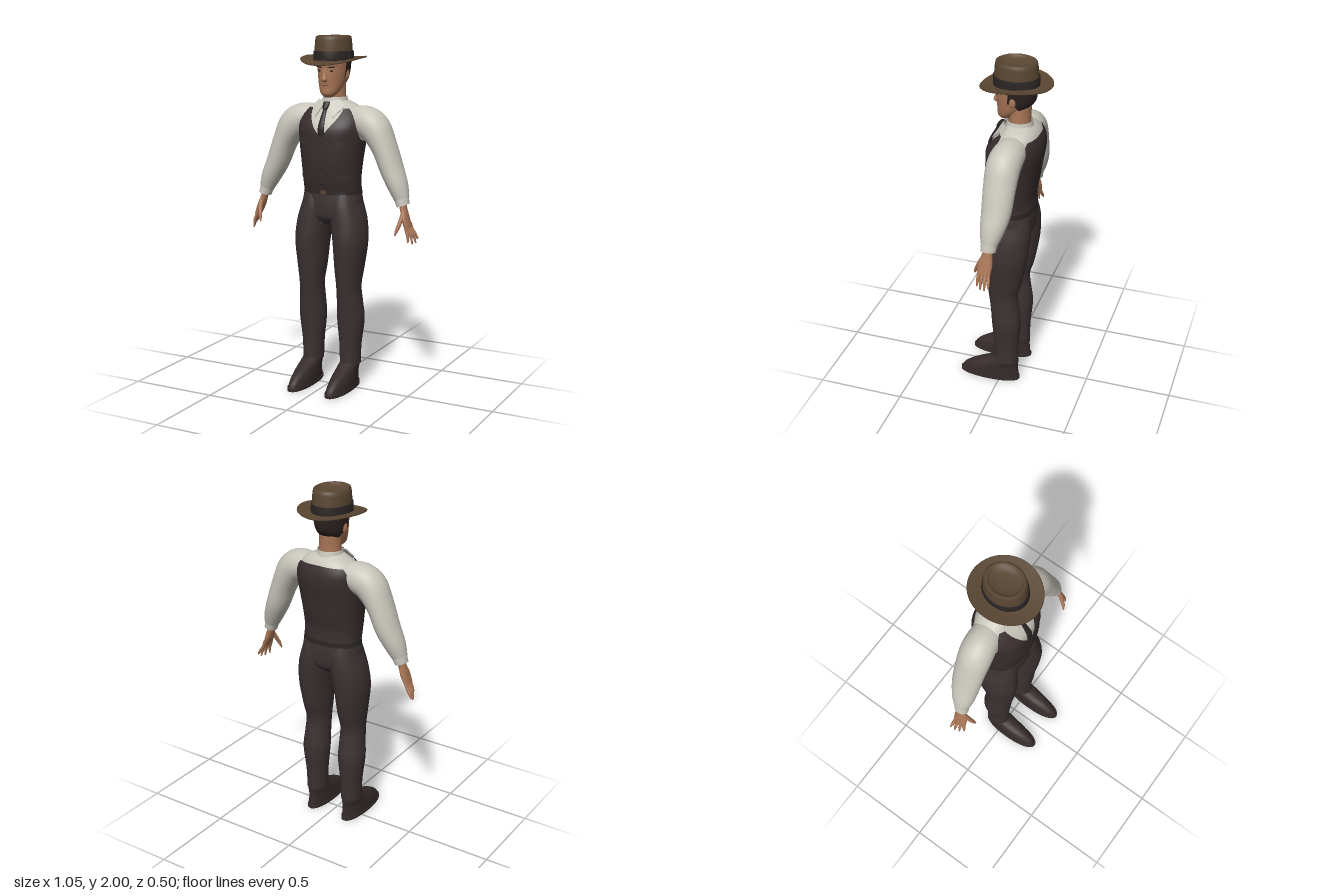
import * as THREE from 'three';

const mat = (name, color, side = THREE.FrontSide) => {
  const m = new THREE.MeshStandardMaterial({ color, side });
  m.name = name;
  return m;
};

// Catmull-Rom blend of the section rows at segment i, fraction f
function sample(rows, i, f) {
  const at = k => rows[Math.min(Math.max(k, 0), rows.length - 1)];
  const [p, a, b, q] = [at(i - 1), at(i), at(i + 1), at(i + 2)];
  return a.map((v, k) => v + 0.5 * f * (b[k] - p[k] + f * (2 * p[k] - 5 * v + 4 * b[k] - q[k] + f * (3 * (v - b[k]) + q[k] - p[k]))));
}

const pow = (v, p) => Math.sign(v) * Math.abs(v) ** (2 / p);

function build(pos, idx) {
  const g = new THREE.BufferGeometry();
  g.setAttribute('position', new THREE.Float32BufferAttribute(pos, 3));
  g.setIndex(idx);
  g.computeVertexNormals();
  return g;
}

// Closed skin through sections [x, y, z, halfWidth, halfDepth]; follow turns the rings along the path
function loft(rows, { follow = false, n = 28, steps = 5, p = 2 } = {}) {
  const rings = [];
  for (let i = 0; i < rows.length - 1; i++)
    for (let k = 0; k < steps; k++) rings.push(sample(rows, i, k / steps));
  rings.push(rows[rows.length - 1]);
  const pos = [], idx = [], last = rings.length - 1;
  const ring = i => {
    const [x, y, z, a, b] = rings[i];
    const r0 = rings[Math.max(i - 1, 0)], r1 = rings[Math.min(i + 1, last)];
    const t = follow ? new THREE.Vector2(r1[0] - r0[0], r1[1] - r0[1]).normalize() : new THREE.Vector2(0, 1);
    for (let j = 0; j < n; j++) {
      const w = j / n * Math.PI * 2, c = pow(Math.cos(w), p) * a;
      pos.push(x + t.y * c, y - t.x * c, z + pow(Math.sin(w), p) * b);
    }
  };
  for (let i = 0; i <= last; i++) ring(i);
  for (let i = 0; i < last; i++) for (let j = 0; j < n; j++) {
    const a = i * n + j, b = i * n + (j + 1) % n;
    idx.push(a, a + n, b, b, a + n, b + n);
  }
  for (const e of [0, last]) {
    const s = pos.length / 3;
    ring(e);
    pos.push(...rings[e].slice(0, 3));
    for (let j = 0; j < n; j++) {
      const a = s + j, b = s + (j + 1) % n;
      idx.push(...(e ? [a, s + n, b] : [a, b, s + n]));
    }
  }
  return build(pos, idx);
}

// Open sheet wrapped round upright sections, between bottom(angle) and top(angle)
function wrap(rows, bottom, top, a0, a1, offset, { n = 72, m = 24, p = 2 } = {}) {
  const pos = [], idx = [];
  for (let i = 0; i <= m; i++) for (let j = 0; j <= n; j++) {
    const w = a0 + (a1 - a0) * j / n, y = bottom(w) + (top(w) - bottom(w)) * i / m;
    let k = 0;
    while (k < rows.length - 2 && y > rows[k + 1][1]) k++;
    const r = sample(rows, k, (y - rows[k][1]) / (rows[k + 1][1] - rows[k][1]));
    pos.push(r[0] + pow(Math.cos(w), p) * (r[3] + offset), y, r[2] + pow(Math.sin(w), p) * (r[4] + offset));
  }
  for (let i = 0; i < m; i++) for (let j = 0; j < n; j++) {
    const a = i * (n + 1) + j, c = a + n + 1;
    idx.push(a, c, a + 1, a + 1, c, c + 1);
  }
  return build(pos, idx);
}

export function createModel() {
  const D = THREE.DoubleSide, PI = Math.PI;
  const skin = mat('skin', 0xa97656), lipTone = mat('lips', 0x8c5a48), hair = mat('hair', 0x2b221f, D);
  const felt = mat('hat felt', 0x5a4632), ribbon = mat('dark ribbon', 0x2c2625);
  const cotton = mat('shirt cotton', 0xc8c5bb, D), vestCloth = mat('vest cloth', 0x382d2e, D);
  const wool = mat('trouser wool', 0x3b3132, D), leather = mat('shoe leather', 0x352b2a), wear = mat('sole wear', 0x8a6a4c);

  const model = new THREE.Group();
  const add = (name, geo, material, x = 0, y = 0, z = 0) => {
    const m = new THREE.Mesh(geo, material);
    m.name = name;
    m.position.set(x, y, z);
    model.add(m);
    return m;
  };
  const flip = (rows, s) => rows.map(([x, ...r]) => [x * s, ...r]);

  // Shirt body and vest share these sections
  const torso = [
    [0, 1.12, -.05, .165, .115], [0, 1.2, -.037, .165, .122], [0, 1.3, -.037, .172, .138],
    [0, 1.4, -.043, .185, .147], [0, 1.5, -.053, .194, .153], [0, 1.56, -.07, .185, .132],
    [0, 1.61, -.08, .15, .1], [0, 1.645, -.075, .085, .068]];
  const P = { p: 2.3 };
  add('shirtBody', loft(torso.map(([x, y, z, a, b]) => [x, y, z, a - .008, b - .008]), P), cotton);
  const mix = (stops, c) => {
    const k = Math.max(1, stops.findIndex(s => s[0] >= c)), [c0, y0] = stops[k - 1], [c1, y1] = stops[k];
    return y0 + (y1 - y0) * (c - c0) / (c1 - c0);
  };
  const frontEdge = [[0, 1.45], [.55, 1.605], [.76, 1.605], [.9, 1.5], [1.01, 1.42]];
  const backEdge = [[0, 1.6], [.8, 1.595], [.92, 1.5], [1.01, 1.42]];
  const neckline = w => mix(Math.sin(w) > 0 ? frontEdge : backEdge, Math.abs(Math.cos(w)));
  const hem = w => 1.15 - (Math.sin(w) > 0 ? .015 * Math.sin(Math.min(1, Math.abs(Math.cos(w)) * 2.5) * PI) : 0);
  add('vest', wrap(torso, hem, neckline, 0, PI * 2, .003, { n: 120, p: 2.3 }), vestCloth);

  // Welt pockets, back cinch strap and front buttons
  const strip = (name, y, h, a, w) => add(name, wrap(torso, () => y, () => y + h, a - w, a + w, .007, { n: 12, m: 2, p: 2.3 }), wool);
  for (const s of [-1, 1]) {
    strip('chestPocket', 1.41, .018, PI / 2 + s * .62, .2);
    strip('waistPocket', 1.22, .018, PI / 2 + s * .72, .24);
  }
  strip('backStrap', 1.2, .025, -PI / 2, .8);
  for (let i = 0; i < 6; i++) {
    const y = 1.19 + i * .046;
    add('vestButton', new THREE.SphereGeometry(.006, 10, 8), ribbon, 0, y, .088 + .018 * Math.sin(Math.min(1, i / 3) * PI / 2)).scale.z = .6;
  }

  // Trousers and belt
  add('trouserSeat', loft([[0, .945, -.045, .05, .06], [0, .99, -.045, .14, .112], [0, 1.07, -.047, .176, .12], [0, 1.15, -.048, .163, .112]], P), wool);
  add('belt', loft([[0, 1.125, -.048, .171, .118], [0, 1.155, -.048, .168, .117]], { p: 2.3, steps: 1, n: 48 }), ribbon);
  add('beltBuckle', new THREE.BoxGeometry(.036, .024, .008), felt, 0, 1.14, .07);

  for (const s of [-1, 1]) {
    add('trouserLeg', loft(flip([
      [.12, .135, -.033, .058, .072], [.12, .25, -.035, .062, .073], [.122, .4, -.035, .078, .085],
      [.12, .5, -.026, .073, .084], [.118, .6, -.015, .069, .086], [.118, .7, -.022, .08, .106],
      [.12, .85, -.03, .095, .125], [.106, .97, -.04, .1, .126], [.09, 1.06, -.045, .09, .12],
      [.083, 1.14, -.048, .076, .1]], s)), wool);
    add('shoe', loft(flip([
      [.12, .018, .067, .056, .178], [.12, .05, .059, .056, .168], [.12, .09, .033, .054, .138],
      [.12, .125, -.008, .054, .1], [.12, .15, -.033, .052, .072]], s)), leather);
    add('sole', loft(flip([[.12, .003, .067, .059, .183], [.12, .02, .067, .059, .183]], s), { steps: 1, n: 40, p: 2.2 }), leather);
    const patch = add('soleWear', new THREE.CircleGeometry(.03, 20), wear, s * .12, .001, .1);
    patch.rotation.x = PI / 2;
    patch.scale.y = 1.8;

    // Sleeve and cuff
    add('sleeve', loft(flip([
      [.1, 1.545, -.075, .068, .078], [.19, 1.533, -.066, .088, .09], [.255, 1.495, -.06, .088, .093],
      [.312, 1.4, -.058, .07, .088], [.36, 1.28, -.056, .064, .081], [.402, 1.19, -.047, .056, .066],
      [.43, 1.12, -.04, .042, .045]], s), { follow: true }), cotton);
    add('cuff', loft(flip([[.423, 1.138, -.041, .041, .046], [.44, 1.085, -.036, .036, .042]], s), { follow: true, steps: 2 }), cotton);

    // Hand with four fingers and a thumb
    const limb = (name, rows) => add(name, loft(flip(rows, s), { follow: true, n: 14, steps: 4 }), skin);
    limb('palm', [[.435, 1.1, -.036, .02, .027], [.446, 1.06, -.032, .019, .03], [.46, 1.015, -.026, .018, .041], [.48, .965, -.024, .012, .038]]);
    [[.52, .9, -.062], [.517, .882, -.038], [.507, .878, -.012], [.492, .888, .012]].forEach(([x, y, z], i) => {
      const z0 = -.053 + i * .019, x0 = .481 - i * .003;
      limb('finger', [[x0 - .005, .99, z0, .009, .01], [x0 + .006, .955, z0, .0095, .01],
        [(x0 + x) / 2 + .006, .925, (z0 + z) / 2, .0085, .009], [x, y, z, .004, .004]]);
    });
    limb('thumb', [[.452, 1.045, -.008, .012, .013], [.445, 1.0, .015, .012, .013], [.435, .96, .034, .01, .01], [.426, .928, .044, .004, .004]]);

    // Collar wing
    const wing = new THREE.Shape([[.012, .05], [.066, .075], [.1, .035], [.055, -.045]].map(([x, y]) => new THREE.Vector2(x * s, y)));
    const flap = add('collarWing', new THREE.ExtrudeGeometry(wing, { depth: .006, bevelEnabled: false }), cotton, 0, 1.6, .048);
    flap.rotation.set(-.65, s * .25, 0);

    // Ear, eye and brow
    add('ear', new THREE.SphereGeometry(.03, 14, 10), skin, s * .084, 1.79, -.055).scale.set(.35, 1, .6);
    add('eye', new THREE.SphereGeometry(.013, 14, 10), hair, s * .035, 1.812, .044).scale.set(1, .45, .4);
    const brow = add('brow', new THREE.BoxGeometry(.04, .007, .008), hair, s * .037, 1.832, .046);
    brow.rotation.set(0, s * .4, s * .08);
  }

  // Collar band and tie
  add('collarBand', new THREE.CylinderGeometry(.068, .08, .05, 32, 1, true), cotton, 0, 1.64, -.072);
  add('tie', loft([[0, 1.44, .1, .017, .007], [0, 1.5, .1, .019, .008], [0, 1.55, .08, .015, .008], [0, 1.6, .05, .011, .008]]), ribbon);
  add('tieKnot', loft([[0, 1.595, .052, .01, .01], [0, 1.615, .044, .018, .014], [0, 1.64, .028, .02, .012]]), ribbon);

  // Head, neck and face
  const skull = [
    [0, 1.665, .012, .022, .022], [0, 1.685, .0, .046, .05], [0, 1.72, -.02, .064, .071],
    [0, 1.77, -.044, .076, .1], [0, 1.82, -.052, .083, .108], [0, 1.87, -.052, .085, .11], [0, 1.93, -.055, .07, .09]];
  add('head', loft(skull), skin);
  add('neck', loft([[0, 1.57, -.09, .075, .07], [0, 1.65, -.073, .062, .06], [0, 1.75, -.07, .06, .066]]), skin);
  add('nose', loft([[0, 1.75, .052, .008, .008], [0, 1.762, .058, .017, .018], [0, 1.79, .053, .011, .014], [0, 1.825, .048, .008, .008]], { n: 16 }), skin);
  add('mouth', new THREE.SphereGeometry(.022, 16, 8), lipTone, 0, 1.733, .046).scale.set(1, .25, .4);
  const hairline = w => 1.735 + .045 * THREE.MathUtils.smoothstep(Math.sin(w), -.75, .05);
  add('hair', wrap(skull, hairline, () => 1.89, PI - .2, PI * 2 + .2, .007, { n: 40, m: 10 }), hair);

  // Hat: curled brim, crown with a sunken top, ribbon and side bow
  const lathe = pts => new THREE.LatheGeometry(pts.map(p => new THREE.Vector2(...p)), 56);
  const hatPart = (name, geo, material, depth) => (add(name, geo, material, 0, 0, -.052).scale.z = depth);
  const brim = lathe([[0, 1.853], [.1, 1.853], [.178, 1.856], [.182, 1.86], [.178, 1.864], [.12, 1.863], [.09, 1.872]]);
  const bp = brim.attributes.position;
  for (let i = 0; i < bp.count; i++) bp.setY(i, bp.getY(i) + .75 * bp.getX(i) ** 2 - .07 * bp.getZ(i));
  brim.computeVertexNormals();
  hatPart('hatBrim', brim, felt, 1.09);
  hatPart('hatCrown', lathe([[.105, 1.86], [.102, 1.92], [.098, 1.975], [.094, 1.995], [.086, 2], [.077, 1.994], [.068, 1.982], [.04, 1.98], [0, 1.978]]), felt, 1.18);
  hatPart('hatRibbon', lathe([[.104, 1.868], [.108, 1.869], [.106, 1.918], [.102, 1.919]]), ribbon, 1.18);
  add('ribbonBow', new THREE.BoxGeometry(.012, .036, .05), ribbon, .109, 1.895, -.052);

  return model;
}
